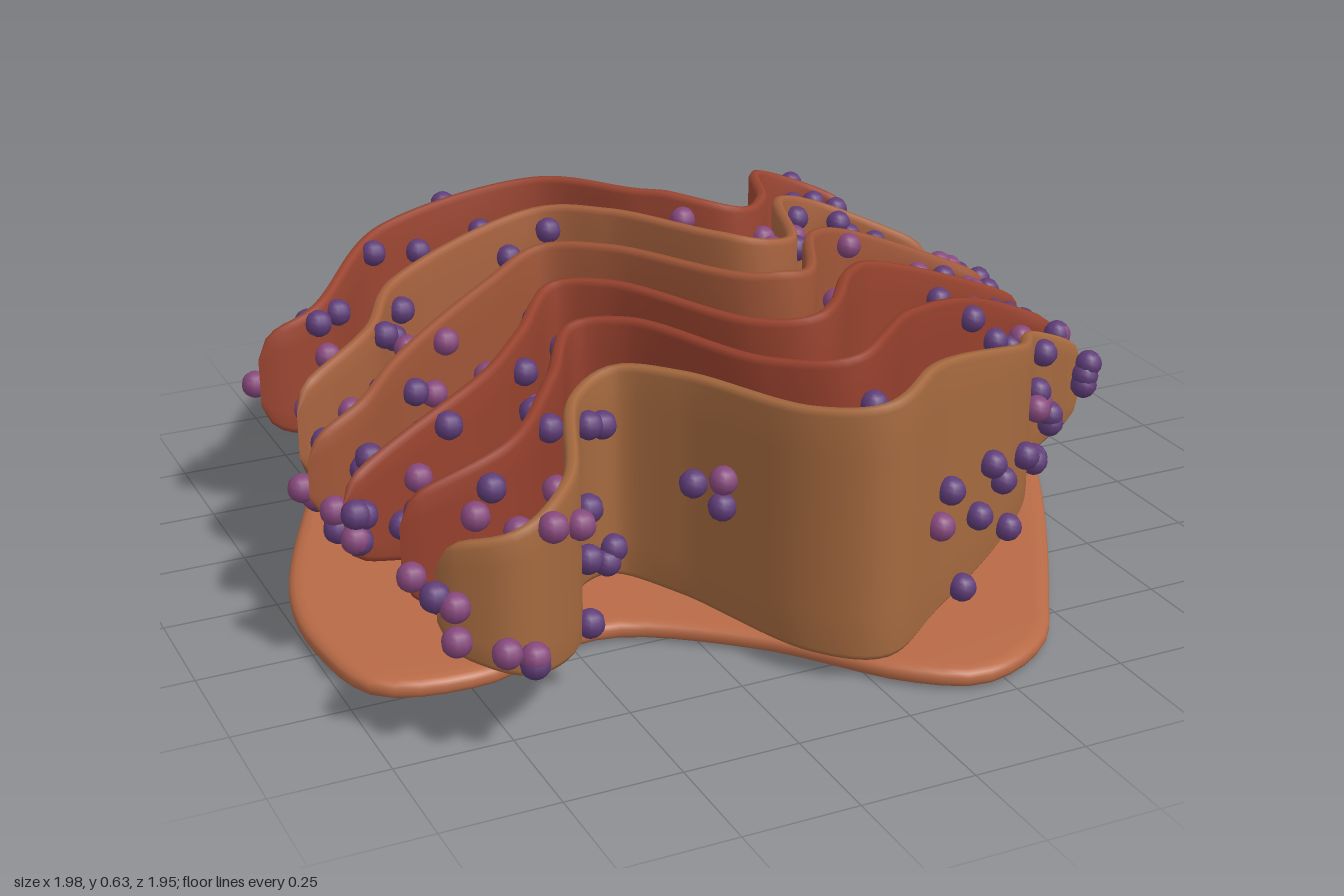
import * as THREE from 'three';
import { mergeGeometries, toCreasedNormals } from 'three/addons/utils/BufferGeometryUtils.js';

// small seeded generator
function seeded(s) {
  return () => (s = (s * 16807) % 2147483647) / 2147483647;
}

const material = (color) => new THREE.MeshStandardMaterial({ color });

// flat list x, z, x, z ... to a smooth curve in the ground plane
function planCurve(flat, closed = false) {
  const points = [];
  for (let i = 0; i < flat.length; i += 2) points.push(new THREE.Vector3(flat[i], 0, flat[i + 1]));
  return new THREE.CatmullRomCurve3(points, closed, 'centripetal');
}

// upper and lower edge of every sheet: high in the middle, narrowing to both ends
function edges(x) {
  const d = Math.min(1, Math.abs(x - 0.15) / (x < 0.15 ? 1.11 : 0.81));
  return x < 0.15
    ? { lo: 0.045 + 0.215 * d ** 2.2, hi: 0.63 - 0.15 * d - 0.06 * d ** 6 }
    : { lo: 0.045 + 0.26 * d ** 1.7, hi: 0.63 - 0.28 * d ** 1.4 };
}

// point and sideways direction on a sheet's plan curve
function station(curve, u) {
  const p = curve.getPointAt(u), t = curve.getTangentAt(u);
  return { p, side: new THREE.Vector3(-t.z, 0, t.x), ...edges(p.x) };
}

// upright wavy sheet with rounded edges and tapered ends
function sheetGeometry(curve) {
  const steps = 110, flank = 6, round = 3, half = 0.015;
  const section = [];
  for (const s of [1, -1]) {
    for (let i = 0; i <= flank; i++) section.push([s, s > 0 ? i / flank : 1 - i / flank, 0]);
    for (let i = 1; i < round; i++) {
      const a = (i / round) * Math.PI;
      section.push([s * Math.cos(a), s > 0 ? 1 : 0, s * Math.sin(a)]);
    }
  }
  const n = section.length, positions = [], index = [];
  for (let j = 0; j <= steps; j++) {
    const u = j / steps, { p, side, lo, hi } = station(curve, u);
    const end = Math.min(1, Math.min(u, 1 - u) / 0.025);
    const taper = Math.sqrt(1 - (1 - end) ** 2);
    const reach = ((hi - lo) / 2 - half) * (0.6 + 0.4 * taper);
    const thick = half * Math.max(taper, 0.02);
    for (const [s, v, cap] of section) {
      const y = (lo + hi) / 2 + (2 * v - 1) * reach + cap * thick;
      positions.push(p.x + side.x * s * thick, y, p.z + side.z * s * thick);
    }
  }
  for (let j = 0; j < steps; j++) {
    for (let i = 0; i < n; i++) {
      const a = j * n + i, b = j * n + (i + 1) % n;
      index.push(a, b, a + n, b, b + n, a + n);
    }
  }
  const g = new THREE.BufferGeometry();
  g.setAttribute('position', new THREE.Float32BufferAttribute(positions, 3));
  g.setIndex(index);
  g.computeVertexNormals();
  return g;
}

// beads scattered on both faces, denser toward the ends
function beadGeometries(curve, seed) {
  const random = seeded(seed), sets = [[], []];
  let count = 0;
  while (count < 62) {
    const { p, side, lo, hi } = station(curve, random());
    const v = random(), offset = random() < 0.5 ? -0.03 : 0.03, tone = count % 4 === 0 ? 1 : 0;
    if (random() > (0.12 + 0.88 * Math.abs(p.x)) * (0.1 + 0.9 * Math.abs(side.z))) continue;
    const bead = new THREE.SphereGeometry(0.031, 10, 8);
    bead.translate(p.x + side.x * offset, lo + 0.02 + v * (hi - lo - 0.04), p.z + side.z * offset);
    sets[tone].push(bead);
    count++;
  }
  return sets.map((set) => mergeGeometries(set));
}

const beadMaterials = [material(0x5f3d78), material(0x86487c)];

// one folded sheet with its beads
function makeSheet(number, color, path) {
  const curve = planCurve(path), group = new THREE.Group();
  group.name = `sheetGroup${number}`;
  const sheet = new THREE.Mesh(sheetGeometry(curve), material(color));
  sheet.material.side = THREE.DoubleSide;
  sheet.name = 'foldedSheet';
  group.add(sheet);
  beadGeometries(curve, number * 7919).forEach((geometry, k) => {
    const beads = new THREE.Mesh(geometry, beadMaterials[k]);
    beads.name = k ? 'lightBeads' : 'darkBeads';
    group.add(beads);
  });
  return group;
}

// thin wavy plate with a softened rim
function makePlate(path) {
  const outline = planCurve(path, true).getSpacedPoints(120).slice(0, -1);
  const shape = new THREE.Shape(outline.map((p) => new THREE.Vector2(p.x, -p.z)));
  const geometry = new THREE.ExtrudeGeometry(shape, {
    depth: 0.012, bevelThickness: 0.016, bevelSize: 0.03, bevelOffset: -0.03, bevelSegments: 3,
  });
  geometry.rotateX(-Math.PI / 2).translate(0, 0.016, 0);
  const plate = new THREE.Mesh(toCreasedNormals(geometry, 0.9), material(0xb86a46));
  plate.name = 'basePlate';
  return plate;
}

export function createModel() {
  const model = new THREE.Group();
  model.name = 'foldedMembrane';

  model.add(makePlate([-1, 0.27, -0.98, 0.03, -0.83, -0.35, -0.64, -0.71, -0.46, -0.93, -0.32, -0.98, -0.19, -0.91,
    0.06, -0.63, 0.29, -0.54, 0.54, -0.66, 0.8, -0.72, 0.87, -0.63, 0.95, -0.14, 0.83, 0.16, 0.51, 0.71, 0.37, 0.9,
    0.19, 0.97, 0.06, 0.9, -0.16, 0.64, -0.4, 0.47, -0.53, 0.47, -0.72, 0.54, -0.94, 0.49]));

  // sheets from back to front
  model.add(makeSheet(1, 0x9c4632, [-0.89, -0.42, -0.76, -0.44, -0.46, -0.78, -0.06, -0.8, 0.12, -0.53, 0.29, -0.37,
    0.44, -0.54, 0.61, -0.88, 0.74, -0.88, 0.83, -0.79]));
  model.add(makeSheet(2, 0xa8633f, [-0.9, -0.1, -0.69, -0.24, -0.55, -0.45, -0.13, -0.61, 0, -0.48, 0.19, -0.11,
    0.3, -0.13, 0.51, -0.57, 0.63, -0.63, 0.89, -0.48]));
  model.add(makeSheet(3, 0xa05638, [-0.95, 0.13, -0.82, 0.08, -0.69, -0.05, -0.39, -0.28, -0.21, -0.39, -0.09, -0.28,
    0.1, 0.1, 0.2, 0.13, 0.42, -0.23, 0.56, -0.33, 0.95, -0.3]));
  model.add(makeSheet(4, 0x98432e, [-0.95, 0.36, -0.58, 0.17, -0.43, 0.02, -0.27, -0.17, -0.17, -0.09, 0, 0.32,
    0.11, 0.38, 0.35, 0.08, 0.46, -0.02, 0.93, -0.12]));
  model.add(makeSheet(5, 0x96402d, [-0.89, 0.53, -0.65, 0.49, -0.46, 0.27, -0.32, 0.06, -0.22, 0.12, -0.07, 0.5,
    0.07, 0.61, 0.35, 0.36, 0.72, 0.1, 0.9, 0.1]));
  model.add(makeSheet(6, 0xa5693f, [-0.89, 0.73, -0.76, 0.82, -0.61, 0.71, -0.45, 0.38, -0.34, 0.32, -0.24, 0.44,
    -0.1, 0.76, 0.02, 0.84, 0.22, 0.71, 0.54, 0.51, 0.67, 0.35, 0.83, 0.31]));
  return model;
}
